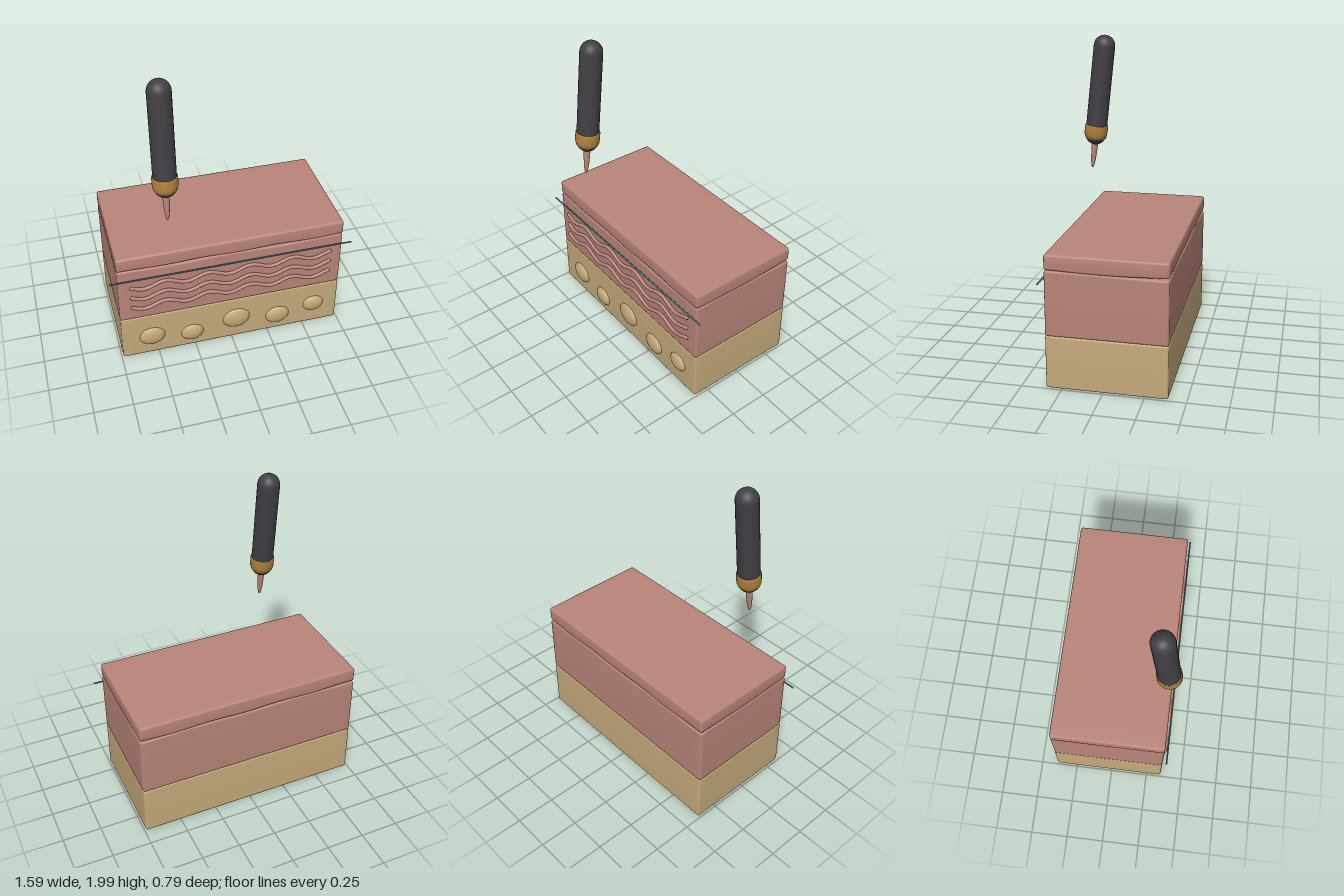
import * as THREE from 'three';
import { mergeVertices } from 'three/addons/utils/BufferGeometryUtils.js';

const material = (name, color) => {
  const m = new THREE.MeshStandardMaterial({ color });
  m.name = name;
  return m;
};

// Box with softened edges, spanning the given bounds; edit may move points by a rule
function softBox(min, max, r, edit) {
  const size = max.map((v, i) => v - min[i]);
  const segs = [36, 4, 20];
  let g = new THREE.BoxGeometry(...size, ...segs);
  g.deleteAttribute('uv');
  g.deleteAttribute('normal');
  g = mergeVertices(g, 1e-4);
  const pos = g.attributes.position;
  const p = new THREE.Vector3(), inner = new THREE.Vector3();
  for (let i = 0; i < pos.count; i++) {
    p.fromBufferAttribute(pos, i);
    [0, 1, 2].forEach((a) => {
      const half = size[a] / 2, v = p.getComponent(a), s = Math.sign(v);
      // draw the ring next to each edge out to where the rounding starts
      if (Math.abs(Math.abs(v) - (half - size[a] / segs[a])) < 1e-4) p.setComponent(a, s * (half - r));
      inner.setComponent(a, THREE.MathUtils.clamp(p.getComponent(a), r - half, half - r));
    });
    p.sub(inner);
    if (p.lengthSq() > 0) p.setLength(r);
    p.add(inner);
    if (edit) edit(p, size);
    pos.setXYZ(i, p.x + (min[0] + max[0]) / 2, p.y + (min[1] + max[1]) / 2, p.z + (min[2] + max[2]) / 2);
  }
  g.computeVertexNormals();
  return g;
}

export function createModel() {
  const model = new THREE.Group();
  model.name = 'layeredTissueBlock';
  const pink = material('tissue pink', 0xba857a);
  const tan = material('fat tan', 0xc6ab7c);
  const dark = material('handle charcoal', 0x414045);
  const gold = material('collar gold', 0xb0813a);
  const teal = material('guide teal', 0x3f8585);

  const add = (parent, name, geometry, mat) => {
    const mesh = new THREE.Mesh(geometry, mat);
    mesh.name = name;
    parent.add(mesh);
    return mesh;
  };

  // Stacked layers
  add(model, 'lowerLayer', softBox([-0.74, 0.01, -0.39], [0.74, 0.345, 0.35], 0.012), tan);
  add(model, 'middleLayer', softBox([-0.74, 0.342, -0.39], [0.74, 0.747, 0.35], 0.014, (p, s) => {
    if (p.y > s[1] / 2 - 0.03) p.y += 0.004 * Math.sin(p.x * 9 + p.z * 5);
  }), pink);
  add(model, 'topLayer', softBox([-0.74, 0.75, -0.39], [0.74, 0.848, 0.35], 0.014, (p) => {
    if (p.y < -0.03) p.y += 0.006 * Math.sin(p.x * 13 + 1) * Math.cos(p.z * 6);
  }), pink);

  // Rounded lobules on the front of the lower layer: x, y, half width, half height
  [
    [-0.54, 0.16, 0.086, 0.073],
    [-0.272, 0.126, 0.076, 0.066],
    [0.03, 0.177, 0.093, 0.08],
    [0.317, 0.134, 0.083, 0.071],
    [0.57, 0.177, 0.073, 0.063],
  ].forEach(([x, y, w, h]) => {
    const lobe = add(model, 'lobule', new THREE.SphereGeometry(1, 32, 20), tan);
    lobe.position.set(x, y, 0.345);
    lobe.scale.set(w, h, 0.033);
  });

  // Wavy fibres on the front of the middle layer
  for (const y of [0.612, 0.528, 0.445]) {
    const pts = [];
    for (let i = 0; i <= 60; i++) {
      const x = -0.655 + (1.31 * i) / 60;
      pts.push(new THREE.Vector3(x, y + 0.02 * Math.cos(((x + 0.44) / 0.28) * Math.PI * 2), 0.357));
    }
    const path = new THREE.CatmullRomCurve3(pts);
    add(model, 'wavyFibre', new THREE.TubeGeometry(path, 160, 0.012, 10), pink);
    for (const end of [pts[0], pts[60]]) {
      add(model, 'fibreEnd', new THREE.SphereGeometry(0.012, 10, 8), pink).position.copy(end);
    }
  }

  // Thin guide line across the front
  const line = add(model, 'guideLine', new THREE.CylinderGeometry(0.005, 0.005, 1.585, 10), teal);
  line.rotation.z = Math.PI / 2;
  line.position.set(0, 0.686, 0.37);

  // Leaning instrument, built upward from its tip
  const tool = new THREE.Group();
  tool.name = 'instrument';
  const lathe = (pts) => new THREE.LatheGeometry(pts.map(([x, y]) => new THREE.Vector2(x, y)), 32);
  add(tool, 'handle', new THREE.CapsuleGeometry(0.071, 0.6, 12, 32), dark).position.y = 0.535;
  add(tool, 'collar', lathe([
    [0.06, 0.203], [0.07, 0.212], [0.076, 0.23], [0.078, 0.25], [0.078, 0.295], [0.076, 0.3], [0.069, 0.301],
  ]), gold);
  add(tool, 'tip', lathe([
    [0, 0], [0.006, 0.003], [0.011, 0.02], [0.016, 0.055], [0.019, 0.1], [0.021, 0.15], [0.021, 0.19],
  ]), pink);
  tool.position.set(-0.405, 1.1, 0.345);
  tool.rotation.x = -0.108;
  model.add(tool);

  return model;
}
